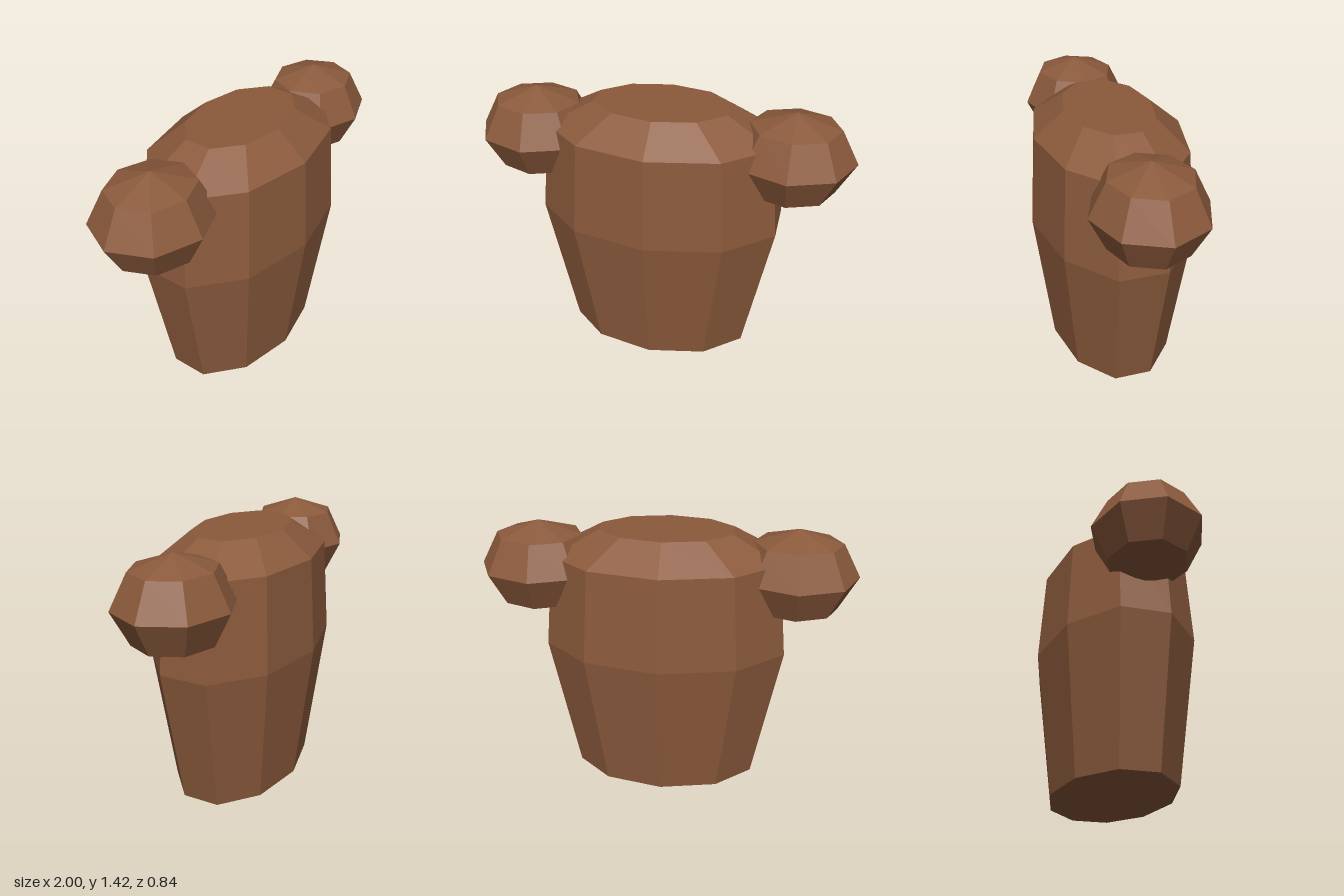
import * as THREE from 'three';

export function createModel() {
  const group = new THREE.Group();
  group.name = 'torso';

  const brown = new THREE.MeshStandardMaterial({ color: 0x8b5a3c, flatShading: true });
  brown.name = 'brown';

  // Ten-sided body, closed at both ends and flattened front to back
  const profile = [[0, 0], [0.52, 0], [0.67, 0.77], [0.62, 1.265], [0.365, 1.4], [0, 1.4]]
    .map(([r, y]) => new THREE.Vector2(r, y));
  const bodyGeometry = new THREE.LatheGeometry(profile, 10);
  bodyGeometry.scale(1, 1, 0.627);
  const body = new THREE.Mesh(bodyGeometry, brown);
  body.name = 'body';
  group.add(body);

  // Faceted shoulders, mirrored
  const shoulderGeometry = new THREE.SphereGeometry(1, 8, 4);
  shoulderGeometry.scale(0.323, 0.247, 0.292);
  for (const side of [1, -1]) {
    const shoulder = new THREE.Mesh(shoulderGeometry, brown);
    shoulder.name = side > 0 ? 'leftShoulder' : 'rightShoulder';
    shoulder.position.set(side * 0.677, 1.175, 0);
    group.add(shoulder);
  }

  return group;
}
